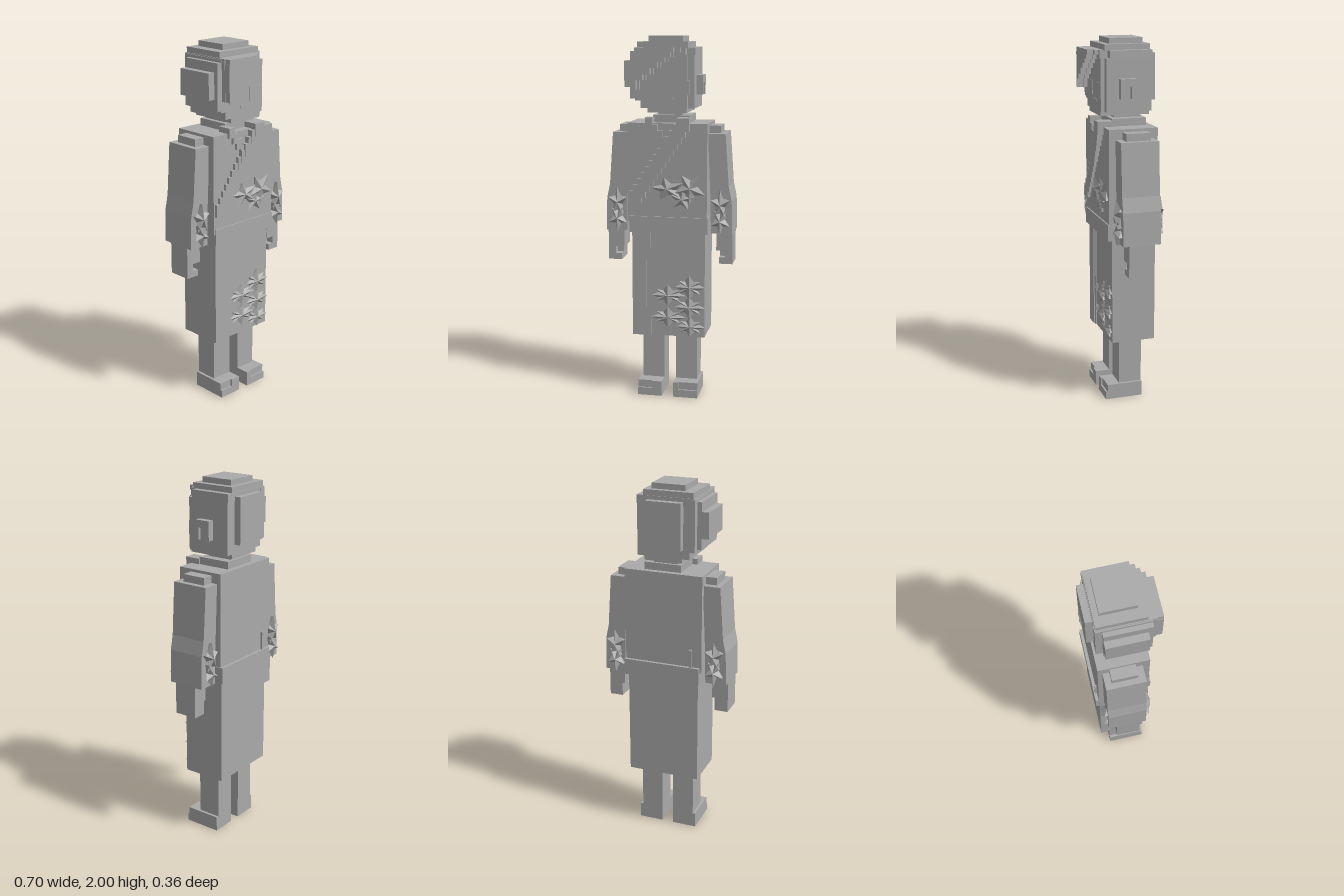
import * as THREE from 'three';

const stone = new THREE.MeshStandardMaterial({ color: 0xaaaaaa });
stone.name = 'plain grey';

// Box from its min and max corners
function box(parent, name, x0, x1, y0, y1, z0, z1) {
  const mesh = new THREE.Mesh(new THREE.BoxGeometry(x1 - x0, y1 - y0, z1 - z0), stone);
  mesh.position.set((x0 + x1) / 2, (y0 + y1) / 2, (z0 + z1) / 2);
  mesh.name = name;
  parent.add(mesh);
  return mesh;
}

// Faceted flower: a ring of ridged petals around a raised centre, facing +z or -z
function flower(parent, name, x, y, z, rx, ry, height, petals, turn = 0, facing = 1) {
  const ring = [];
  for (let i = 0; i < petals * 2; i++) {
    const a = turn + (i * Math.PI) / petals;
    const r = i % 2 ? 0.5 : 1;
    ring.push([Math.cos(a) * rx * r, Math.sin(a) * ry * r, i % 2 ? 0 : height * 0.6]);
  }
  const verts = [];
  ring.forEach((p, i) => {
    const q = ring[(i + 1) % ring.length];
    verts.push(0, 0, height, ...p, ...q);
    verts.push(...p, p[0], p[1], 0, ...q);
  });
  const geo = new THREE.BufferGeometry();
  geo.setAttribute('position', new THREE.Float32BufferAttribute(verts, 3));
  geo.computeVertexNormals();
  const mesh = new THREE.Mesh(geo, stone);
  mesh.position.set(x, y, z);
  if (facing < 0) mesh.rotation.y = Math.PI;
  mesh.name = name;
  parent.add(mesh);
}

function group(parent, name) {
  const g = new THREE.Group();
  g.name = name;
  parent.add(g);
  return g;
}

export function createModel() {
  const model = new THREE.Group();
  model.name = 'robedFigure';

  // Legs and shoes
  for (const s of [-1, 1]) {
    const leg = group(model, s > 0 ? 'leftLeg' : 'rightLeg');
    const span = (a, b) => (s > 0 ? [a, b] : [-b, -a]);
    box(leg, 'shin', ...span(0.033, 0.155), 0.085, 0.36, -0.09, 0.04);
    box(leg, 'shoe', ...span(0.033, 0.17), 0, 0.085, -0.09, 0.11);
    box(leg, 'sole', ...span(0.033, 0.17), 0, 0.043, 0.11, 0.12);
    box(leg, 'toeStrap', ...span(0.033, s > 0 ? 0.065 : 0.09), 0.043, 0.085, 0.11, 0.12);
  }

  // Skirt with an overlapping panel and flowers at the hem
  const skirt = group(model, 'skirt');
  box(skirt, 'skirtBody', -0.2, 0.205, 0.35, 0.95, -0.15, 0.094);
  box(skirt, 'wrapEdge', -0.2, -0.12, 0.35, 0.95, 0.094, 0.105);
  box(skirt, 'wrapFold', -0.12, -0.097, 0.35, 0.95, 0.094, 0.099);
  for (const [x, y, rx, ry] of [[0, 0.585, 0.095, 0.06], [0.12, 0.635, 0.085, 0.07],
    [0.0, 0.46, 0.095, 0.06], [0.12, 0.52, 0.085, 0.065], [0.125, 0.41, 0.078, 0.06]]) {
    flower(skirt, 'hemFlower', x, y, 0.094, rx, ry, 0.022, 4);
    flower(skirt, 'hemFlowerInner', x, y, 0.094, rx * 0.8, ry, 0.018, 6, 0.5);
  }

  // Torso, belt and neck
  const torso = group(model, 'torso');
  box(torso, 'jacket', -0.22, 0.217, 1.0, 1.54, -0.155, 0.115);
  box(torso, 'belt', -0.21, 0.222, 0.94, 1.03, -0.172, 0.122);
  box(torso, 'beltTie', -0.165, -0.15, 1.03, 1.13, -0.166, -0.155);
  box(torso, 'collarBase', -0.09, 0.115, 1.53, 1.58, -0.125, 0.065);
  box(torso, 'neck', -0.065, 0.068, 1.57, 1.62, -0.11, 0.04);
  for (const [x, y, rx, ry, n, t] of [[0, 1.185, 0.095, 0.065, 5, 0.5],
    [0.125, 1.19, 0.085, 0.09, 5, 0.9], [0.08, 1.13, 0.07, 0.06, 5, 0.2]]) {
    flower(torso, 'chestFlower', x, y, 0.115, rx, ry, 0.02, n, t);
  }

  // Stepped lapels crossing the chest
  const steps = 13;
  for (let i = 0; i < steps; i++) {
    const t = i / (steps - 1);
    const x = 0.09 - 0.265 * t;
    const y = 1.545 - 0.4 * t;
    const front = 0.148 - 0.018 * Math.min(1, t * 2);
    box(torso, 'longLapel', x - 0.035, x + 0.033, y - 0.045, y + 0.025, 0.06, front);
  }
  for (let i = 0; i < 4; i++) {
    const x = -0.1 + i * 0.028;
    const y = 1.55 - i * 0.035;
    box(torso, 'shortLapel', x - 0.02, x + 0.02, y - 0.035, y + 0.02, 0.05, 0.13);
  }

  // Sleeves and hands
  const profile = [[0.215, 1.485], [0.31, 1.485], [0.33, 1.2], [0.347, 1.12],
    [0.352, 0.94], [0.235, 0.94], [0.23, 1.15]];
  for (const s of [-1, 1]) {
    const arm = group(model, s > 0 ? 'leftArm' : 'rightArm');
    const shape = new THREE.Shape(profile.map(([x, y]) => new THREE.Vector2(x * s, y)));
    const sleeve = new THREE.Mesh(
      new THREE.ExtrudeGeometry(shape, { depth: 0.208, bevelEnabled: false }), stone);
    sleeve.position.z = -0.13;
    sleeve.name = 'sleeve';
    arm.add(sleeve);
    const span = (a, b) => (s > 0 ? [a, b] : [-b, -a]);
    box(arm, 'shoulderPad', ...span(0.21, 0.28), 1.47, 1.525, -0.095, 0.04);
    box(arm, 'palm', ...span(0.26, 0.35), 0.84, 0.95, -0.085, 0.045);
    box(arm, 'knuckles', ...span(0.31, 0.35), 0.8, 0.84, -0.085, 0.045);
    box(arm, 'backOfHand', ...span(0.275, 0.31), 0.8, 0.84, -0.085, 0.0);
    box(arm, 'fingers', ...span(0.275, 0.35), 0.765, 0.8, -0.085, 0.045);
    for (const f of [-1, 1]) {
      const z = f > 0 ? 0.078 : -0.13;
      flower(arm, 'sleeveFlower', 0.285 * s, 1.1, z, 0.052, 0.085, 0.034, 5, Math.PI / 2, f);
      flower(arm, 'cuffFlower', 0.285 * s, 1.01, z, 0.052, 0.075, 0.032, 5, -Math.PI / 2, f);
    }
  }

  // Head, face and ear
  const head = group(model, 'head');
  box(head, 'skull', -0.145, 0.145, 1.62, 1.9, -0.145, 0.085);
  box(head, 'face', -0.145, 0.11, 1.62, 1.9, 0.085, 0.126);
  box(head, 'cheek', 0.1, 0.145, 1.62, 1.9, 0.085, 0.105);
  box(head, 'chin', -0.105, 0.105, 1.597, 1.62, -0.145, 0.126);
  box(head, 'rightEye', -0.12, -0.04, 1.695, 1.77, 0.12, 0.129);
  box(head, 'leftEye', 0.03, 0.12, 1.695, 1.77, 0.12, 0.129);
  box(head, 'mouth', -0.038, 0.035, 1.665, 1.68, 0.12, 0.129);
  box(head, 'earTop', 0.145, 0.18, 1.755, 1.795, -0.05, 0.037);
  box(head, 'earBack', 0.145, 0.18, 1.69, 1.755, -0.05, -0.022);
  box(head, 'earFront', 0.145, 0.18, 1.69, 1.755, 0.018, 0.037);
  box(head, 'earInner', 0.145, 0.162, 1.69, 1.755, -0.022, 0.018);

  // Blocky hair: crown layers, back plate and side lobe
  const hair = group(model, 'hair');
  box(hair, 'crownTop', -0.11, 0.075, 1.97, 2.0, -0.115, 0.07);
  box(hair, 'crownMiddle', -0.165, 0.11, 1.935, 1.97, -0.145, 0.105);
  box(hair, 'crownBase', -0.17, 0.145, 1.895, 1.94, -0.148, 0.085);
  box(hair, 'crownFront', -0.17, 0.1, 1.895, 1.94, 0.085, 0.128);
  box(hair, 'backPlate', -0.11, 0.087, 1.67, 1.92, -0.183, -0.145);
  box(hair, 'sideInner', -0.175, -0.14, 1.66, 1.935, -0.15, 0.126);
  box(hair, 'sideMiddle', -0.2, -0.17, 1.67, 1.92, -0.115, 0.126);
  box(hair, 'sideOuter', -0.238, -0.2, 1.73, 1.87, -0.115, 0.102);

  // Fringe swept across the forehead in steps
  const fringe = [[0.075, 1.94, 1.915], [0.04, 1.915, 1.89], [0.01, 1.89, 1.865],
    [-0.03, 1.865, 1.835], [-0.07, 1.835, 1.8], [-0.11, 1.8, 1.77], [-0.145, 1.77, 1.72]];
  fringe.forEach(([x, top, bottom], i) => {
    box(hair, 'fringeUnder', -0.17, x, bottom, top, 0.12, 0.148);
    const outer = Math.min(x - 0.012, 0.045);
    const left = i < 1 || i > 5 ? -0.165 : -0.168;
    if (outer > left + 0.005) box(hair, 'fringeOuter', left, outer, bottom, top, 0.148, 0.181);
  });

  return model;
}
